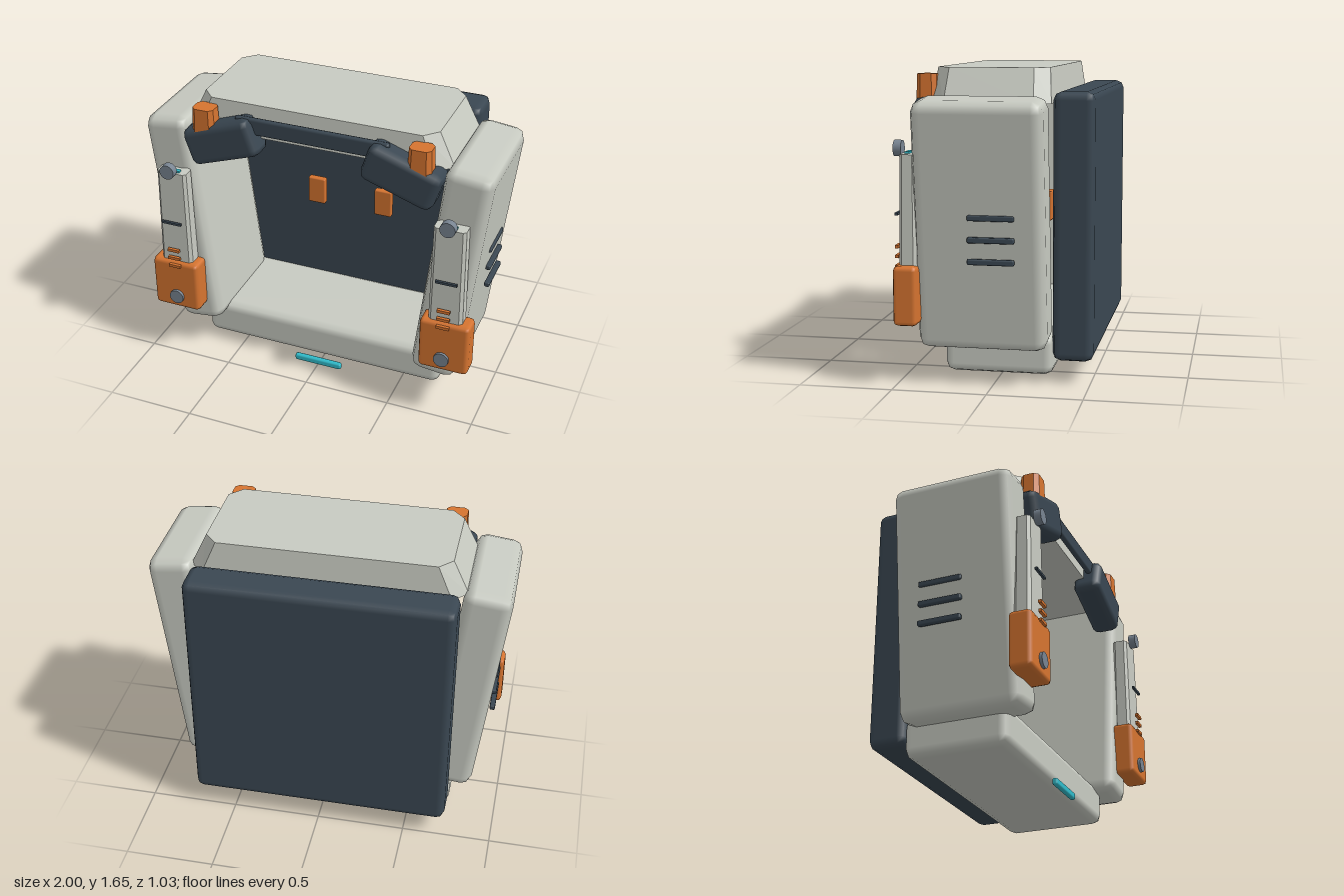
import * as THREE from 'three';
import { RoundedBoxGeometry } from 'three/addons/geometries/RoundedBoxGeometry.js';

const material = (name, color) => {
  const m = new THREE.MeshStandardMaterial({ color });
  m.name = name;
  return m;
};

// Upright block with cut corners, tapering from (w0, d0) at the base to (w1, d1) at the top
function taperedBlock(w0, d0, w1, d1, height, cut) {
  const x = w0 / 2, y = d0 / 2;
  const outline = [
    [x, -y + cut], [x, y - cut], [x - cut, y], [-x + cut, y],
    [-x, y - cut], [-x, -y + cut], [-x + cut, -y], [x - cut, -y],
  ].map(([a, b]) => new THREE.Vector2(a, b));
  const g = new THREE.ExtrudeGeometry(new THREE.Shape(outline), { depth: height, bevelEnabled: false });
  g.rotateX(-Math.PI / 2);
  const p = g.attributes.position;
  for (let i = 0; i < p.count; i++) {
    if (p.getY(i) > height / 2) {
      p.setX(i, p.getX(i) * w1 / w0);
      p.setZ(i, p.getZ(i) * d1 / d0);
    }
  }
  g.computeVertexNormals();
  return g;
}

export function createModel() {
  const shell = material('pale shell', 0xc8cbc2);
  const dark = material('dark slate', 0x3a4752);
  const orange = material('orange', 0xd67430);
  const metal = material('grey metal', 0x788491);
  const cyan = material('cyan light', 0x30bccb);

  const model = new THREE.Group();
  model.name = 'model';

  const add = (name, geometry, mat, x, y, z, tilt = 0) => {
    const mesh = new THREE.Mesh(geometry, mat);
    mesh.name = name;
    mesh.position.set(x, y, z);
    mesh.rotation.z = tilt;
    model.add(mesh);
    return mesh;
  };
  const rounded = (w, h, d, r) => new RoundedBoxGeometry(w, h, d, 1, r);

  // Main frame: back, sill and roof
  add('backPanel', rounded(1.465, 1.42, 0.22, 0.045), dark, 0, 0.83, -0.405);
  add('sill', rounded(1.465, 0.22, 0.585, 0.05), shell, 0, 0.15, -0.01);
  add('roof', taperedBlock(1.52, 0.635, 1.34, 0.6, 0.185, 0.08), shell, 0, 1.475, 0.035);

  // Bar under the roof and the lamp below the sill
  add('topBar', rounded(0.88, 0.1, 0.035, 0.016), dark, 0, 1.557, 0.38);
  add('sillLight', rounded(0.29, 0.04, 0.032, 0.012), cyan, 0, 0.025, 0.31);

  for (const [side, s] of [['left', 1], ['right', -1]]) {
    const put = (name, geometry, mat, x, y, z, tilt = 0) =>
      add(side + name, geometry, mat, s * x, y, z, s * tilt);

    // Leaning side wall with three vents
    put('SidePanel', rounded(0.265, 1.32, 0.685, 0.06), shell, 0.795, 0.855, 0.0575, -0.12);
    for (const y of [0.907, 0.793, 0.68]) {
      put('SideVent', rounded(0.03, 0.03, 0.245, 0.008), dark, 0.932, y, -0.012);
    }

    // Front rail with its orange foot block
    put('Rail', taperedBlock(0.2, 0.1, 0.178, 0.085, 0.82, 0.018), shell, 0.808, 0.4, 0.433);
    put('RailLight', new THREE.BoxGeometry(0.08, 0.012, 0.025), cyan, 0.803, 1.224, 0.447);
    put('RailFoot', rounded(0.285, 0.315, 0.128, 0.025), orange, 0.813, 0.4875, 0.44);
    put('RailSlot', new THREE.BoxGeometry(0.12, 0.014, 0.014), dark, 0.812, 0.907, 0.5);
    for (const y of [0.73, 0.678, 0.625]) {
      put('RailStripe', new THREE.BoxGeometry(0.072, 0.017, 0.018), orange, 0.807, y, 0.508);
    }
    for (const [y, depth] of [[1.245, 0.042], [0.412, 0.05]]) {
      const bolt = new THREE.CylinderGeometry(0.043, 0.043, depth, 20).rotateX(Math.PI / 2);
      put('RailBolt', bolt, metal, 0.808, y, 0.52 - depth / 2);
    }

    // Shoulder pad and clip
    put('ShoulderPad', rounded(0.425, 0.225, 0.17, 0.045), dark, 0.515, 1.44, 0.365, -0.33);
    put('ShoulderClip', taperedBlock(0.14, 0.115, 0.122, 0.105, 0.225, 0.025), orange, 0.615, 1.4, 0.385);

    // Catch in front of the back panel
    put('BackCatch', rounded(0.105, 0.165, 0.04, 0.008), orange, 0.208, 0.882, -0.2);
  }
  return model;
}
